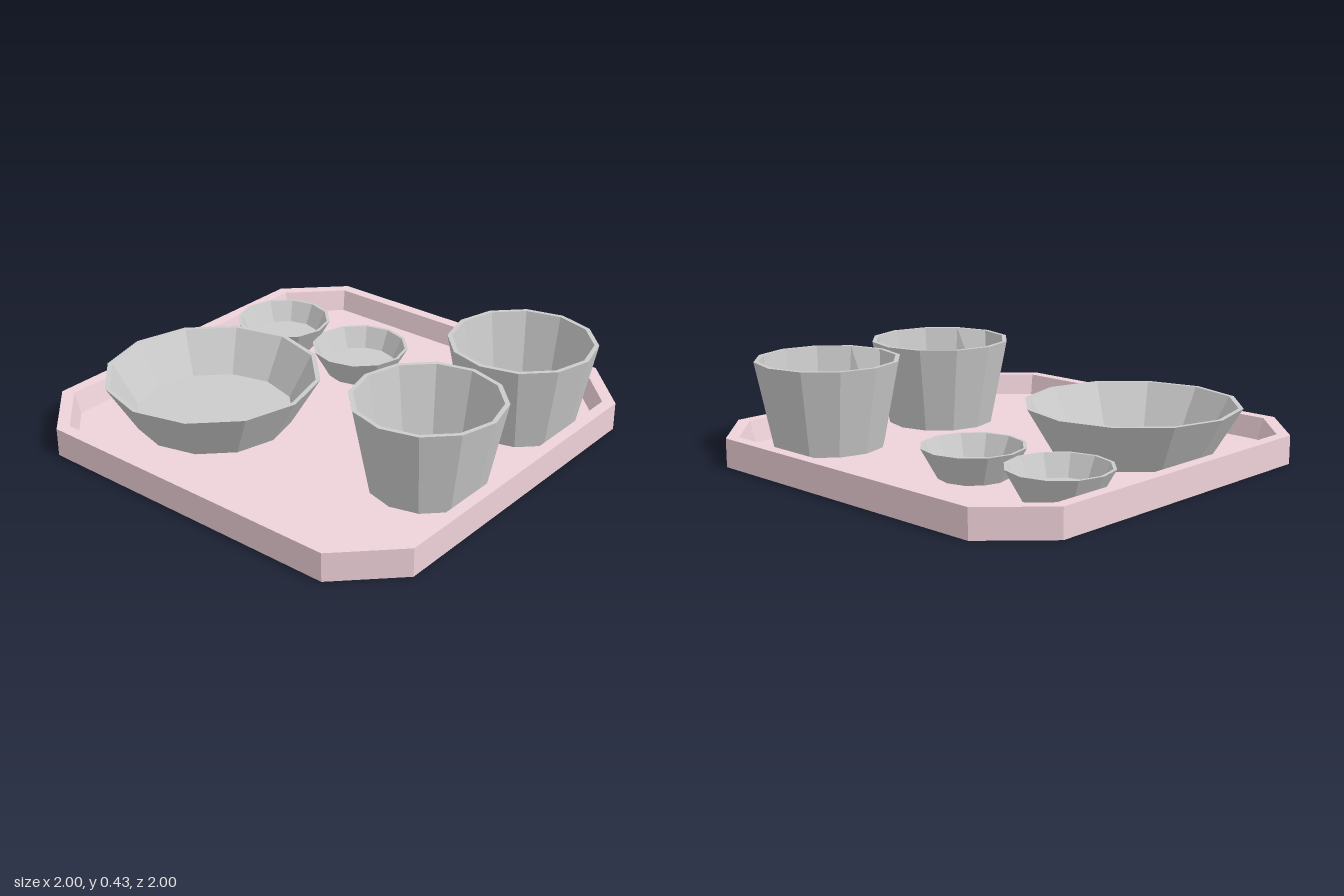
import * as THREE from 'three';

const SIDES = 12;
const pink = new THREE.MeshStandardMaterial({ color: 0xeed2d9, flatShading: true });
const grey = new THREE.MeshStandardMaterial({ color: 0xcccccc, flatShading: true });
const greySheet = new THREE.MeshStandardMaterial({ color: 0xcccccc, flatShading: true, side: THREE.DoubleSide });

// Square outline with cut corners: half width w, half length of straight edge e
function octagon(w, e, y) {
  return [[e, w], [w, e], [w, -e], [e, -w], [-e, -w], [-w, -e], [-w, e], [-e, w]]
    .map(([x, z]) => new THREE.Vector3(x, y, z));
}

// Skin a stack of equal-length rings, running up the outside and down the inside
function loft(rings) {
  const n = rings[0].length;
  const index = [];
  for (let r = 0; r < rings.length - 1; r++) {
    for (let i = 0; i < n; i++) {
      const a = r * n + i, b = r * n + (i + 1) % n;
      index.push(a, b, b + n, a, b + n, a + n);
    }
  }
  const geometry = new THREE.BufferGeometry().setFromPoints(rings.flat());
  geometry.setIndex(index);
  geometry.computeVertexNormals();
  return geometry;
}

// Faceted open vessel with a wall and a raised inner floor
function vessel(name, { top, outer, inner, base, floor, floorY = 0.06 }) {
  const profile = [[0, 0.03], [base, 0.03], [outer, top], [inner, top], [floor, floorY], [0, floorY]]
    .map(([r, y]) => new THREE.Vector2(r, y));
  const group = new THREE.Group();
  group.name = name;
  const body = new THREE.Mesh(new THREE.LatheGeometry(profile, SIDES), grey);
  body.name = name + 'Body';
  group.add(body);
  return group;
}

// Slanted inner facet from the rim on the -x side down to one floor corner
function innerFacet({ top, inner, floor, floorY = 0.06 }) {
  const at = (deg, r, y) => {
    const t = THREE.MathUtils.degToRad(deg);
    return new THREE.Vector3(r * Math.cos(t), y, r * Math.sin(t));
  };
  const points = [at(240, floor, floorY), ...[150, 180, 210, 240].map(d => at(d, inner, top))];
  const geometry = new THREE.BufferGeometry().setFromPoints(points);
  geometry.setIndex([0, 2, 1, 0, 3, 2, 0, 4, 3]);
  geometry.computeVertexNormals();
  const mesh = new THREE.Mesh(geometry, greySheet);
  mesh.name = 'innerFacet';
  return mesh;
}

export function createModel() {
  const model = new THREE.Group();
  model.name = 'trayWithBowls';

  // Tray with a sunken floor
  const tray = new THREE.Mesh(loft([
    octagon(0, 0, 0),
    octagon(1, 0.75, 0),
    octagon(1, 0.75, 0.13),
    octagon(0.945, 0.727, 0.13),
    octagon(0.922, 0.715, 0.03),
    octagon(0, 0, 0.03),
  ]), pink);
  tray.name = 'tray';
  model.add(tray);

  // Large bowl
  const bowl = vessel('largeBowl', { top: 0.255, outer: 0.49, inner: 0.468, base: 0.355, floor: 0.365 - 0.005 });
  bowl.position.set(-0.345, 0, -0.435);
  model.add(bowl);

  // Two small dishes
  for (const z of [-0.695, -0.21]) {
    const dish = vessel('smallDish', { top: 0.165, outer: 0.23, inner: 0.215, base: 0.155, floor: 0.17, floorY: 0.07 });
    dish.position.set(0.43, 0, z);
    model.add(dish);
  }

  // Two tall cups
  const cupSize = { top: 0.43, outer: 0.333, inner: 0.312, base: 0.253, floor: 0.243 };
  for (const x of [-0.2, 0.5]) {
    const cup = vessel('cup', cupSize);
    cup.add(innerFacet(cupSize));
    cup.position.set(x, 0, 0.65);
    model.add(cup);
  }
  return model;
}
